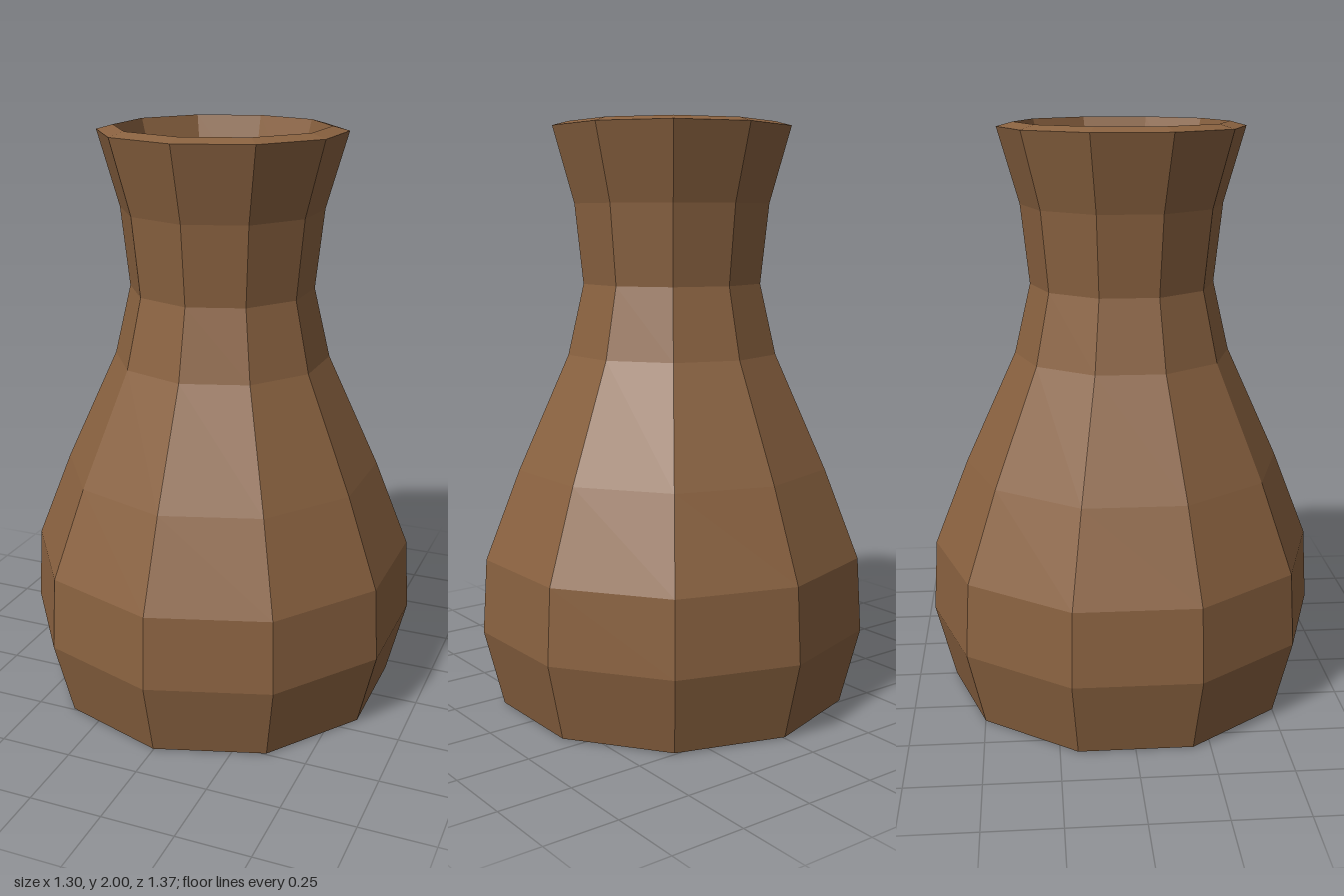
import * as THREE from 'three';

const SIDES = 10;

// Closed faceted shell turned from a [radius, height] profile
function turned(name, profile, material) {
  const points = profile.map(([r, y]) => new THREE.Vector2(r, y));
  const mesh = new THREE.Mesh(new THREE.LatheGeometry(points, SIDES), material);
  mesh.name = name;
  return mesh;
}

export function createModel() {
  const group = new THREE.Group();
  group.name = 'vase';

  const clay = new THREE.MeshStandardMaterial({ color: 0x8a6240, flatShading: true });
  clay.name = 'brown clay';

  // Base and outer wall, from the centre of the underside up to the lip
  const outer = [
    [0, 0], [0.56, 0], [0.617, 0.004], [0.685, 0.27], [0.67, 0.525], [0.55, 0.83],
    [0.372, 1.22], [0.316, 1.46], [0.345, 1.73], [0.418, 1.985],
  ];
  // Slightly sloping lip
  const lip = [[0.418, 1.985], [0.362, 2]];
  // Inner wall, from the lip down to the middle of the floor
  const inner = [
    [0.362, 2], [0.287, 1.73], [0.26, 1.46], [0.315, 1.22],
    [0.49, 0.83], [0.61, 0.525], [0.625, 0.27], [0.57, 0.06], [0, 0.06],
  ];

  group.add(
    turned('outerWall', outer, clay),
    turned('lip', lip, clay),
    turned('innerWall', inner, clay),
  );
  return group;
}
